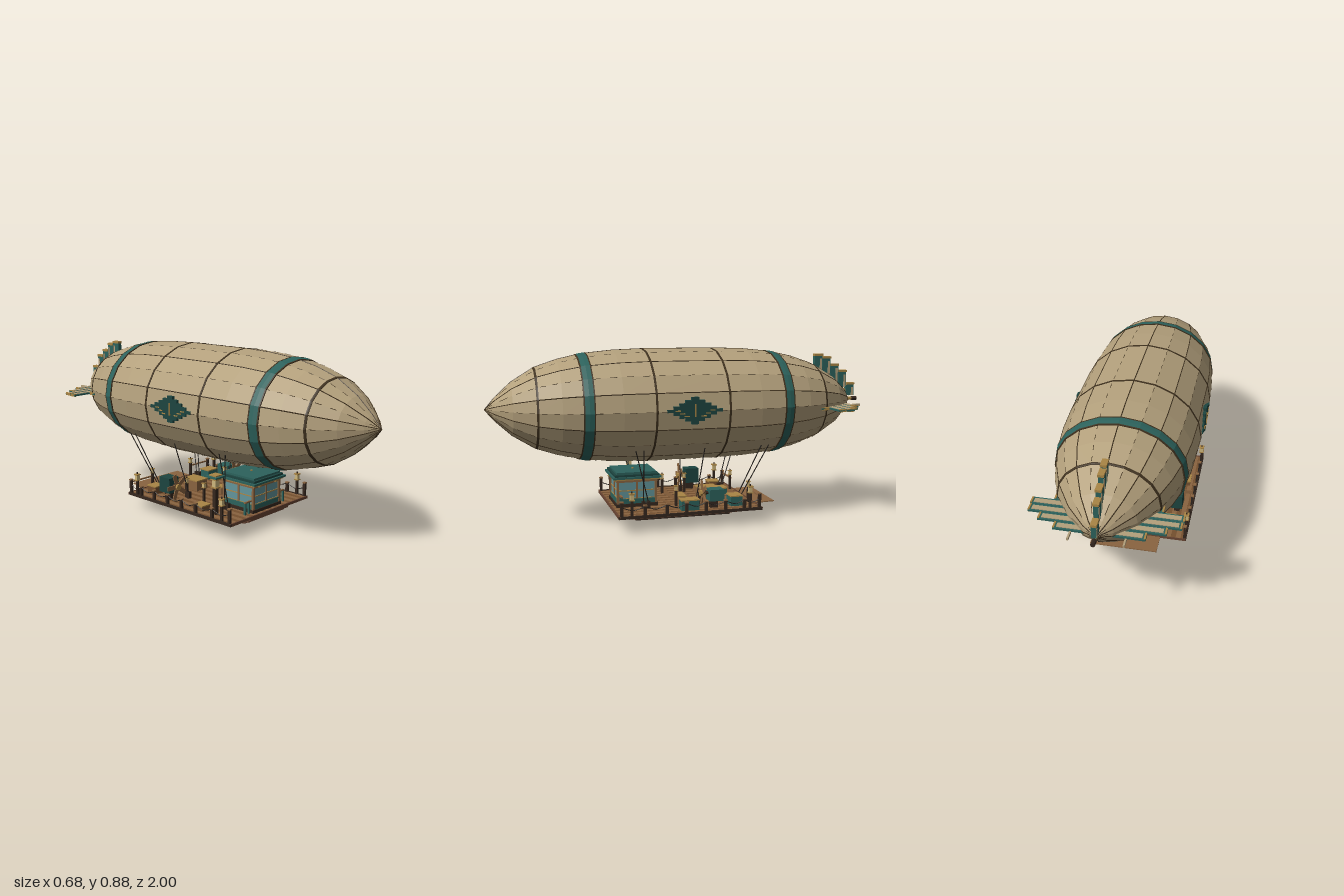
import * as THREE from 'three';

const C = {
  canvas: 0xb3a07c, seam: 0x40321f, teal: 0x2c625c, darkTeal: 0x1d4540, wood: 0x8a6440, plank: 0x75502f,
  hull: 0x6a4532, dark: 0x35271e, under: 0x2a2c2c, gold: 0xa98545, glass: 0x62949a, lamp: 0xcdb67c, rope: 0x26221e,
};
const mats = {};
const mat = (c) => (mats[c] ??= new THREE.MeshStandardMaterial({ color: C[c], flatShading: true, side: THREE.DoubleSide }));

function add(parent, name, geo, color, x = 0, y = 0, z = 0) {
  const m = new THREE.Mesh(geo, mat(color));
  m.name = name;
  m.position.set(x, y, z);
  parent.add(m);
  return m;
}
// box given by its extents
const box = (p, name, color, x0, x1, y0, y1, z0, z1) =>
  add(p, name, new THREE.BoxGeometry(Math.abs(x1 - x0), y1 - y0, Math.abs(z1 - z0)), color, (x0 + x1) / 2, (y0 + y1) / 2, (z0 + z1) / 2);
// thin round bar between two points
function bar(p, name, color, a, b, r, sides = 5) {
  const va = new THREE.Vector3(...a), d = new THREE.Vector3(...b).sub(va);
  const m = add(p, name, new THREE.CylinderGeometry(r, r, d.length(), sides), color);
  m.position.copy(va).addScaledVector(d, 0.5);
  m.quaternion.setFromUnitVectors(new THREE.Vector3(0, 1, 0), d.normalize());
  return m;
}
function group(parent, name) {
  const g = new THREE.Group();
  g.name = name;
  parent.add(g);
  return g;
}

// envelope: elliptical cross-section, radius factor along z
const CY = 0.587, RX = 0.332, RY = 0.286;
const profile = [[-0.95, 0], [-0.91, 0.2], [-0.83, 0.46], [-0.71, 0.7], [-0.6, 0.83], [-0.475, 0.925], [-0.32, 0.98], [-0.15, 1],
  [0.215, 1], [0.37, 0.98], [0.53, 0.925], [0.65, 0.83], [0.76, 0.7], [0.87, 0.46], [0.95, 0.2], [0.998, 0]];
function radiusAt(z) {
  const i = Math.max(1, profile.findIndex((q) => q[0] >= z));
  const [z0, r0] = profile[i - 1], [z1, r1] = profile[i];
  return r0 + ((r1 - r0) * (z - z0)) / (z1 - z0);
}
const surf = (a, z, k = 1) => [Math.sin(a) * RX * radiusAt(z) * k, CY + Math.cos(a) * RY * radiusAt(z) * k, z];
function turned(parent, name, color, pts) {
  const g = new THREE.LatheGeometry(pts.map(([z, r]) => new THREE.Vector2(r, z)), 20);
  g.rotateX(Math.PI / 2).scale(RX, RY, 1);
  return add(parent, name, g, color, 0, CY, 0);
}
function hoop(parent, name, color, z, w, k) {
  const r0 = radiusAt(z - w), r1 = radiusAt(z + w);
  turned(parent, name, color, [[z - w, r0 * 0.98], [z - w, r0 + k], [z, radiusAt(z) + k], [z + w, r1 + k], [z + w, r1 * 0.98]]);
}

function buildEnvelope(root) {
  const g = group(root, 'envelope');
  turned(g, 'canvas', 'canvas', profile);
  for (const z of [0.76, 0.215, -0.15, -0.71]) hoop(g, 'ringSeam', 'seam', z, 0.005, 0.008);
  for (const z of [0.53, -0.475]) {
    hoop(g, 'tealBand', 'teal', z, 0.022, 0.014);
    for (const s of [-1, 1]) hoop(g, 'bandEdge', 'seam', z + s * 0.024, 0.003, 0.016);
  }
  // solid seams on every other edge, stitched ones between
  for (let i = 0; i < 20; i++) {
    const a = (i * Math.PI) / 10;
    for (let j = 1; j < profile.length; j++) {
      const z0 = profile[j - 1][0], z1 = profile[j][0];
      if (i % 2 === 0) bar(g, 'seam', 'seam', surf(a, z0), surf(a, z1), 0.0025, 4);
      else {
        const n = Math.max(1, Math.round((z1 - z0) / 0.07));
        for (let k = 0; k < n; k++) {
          const at = (t) => surf(a, z0 + ((z1 - z0) * (k + t)) / n);
          bar(g, 'stitch', 'seam', at(0.25), at(0.7), 0.0014, 4);
        }
      }
    }
  }
  // stern spike
  bar(g, 'sternSpike', 'gold', [0, CY, -0.92], [0, CY, -0.98], 0.009, 8);
  bar(g, 'sternTip', 'dark', [0, CY, -0.97], [0, CY, -1], 0.011, 8);
  // stepped diamond panel on each flank
  for (const s of [-1, 1]) {
    const d = group(g, 'flankPanel');
    for (let i = -4; i <= 4; i++) {
      const w = 0.138 - Math.abs(i) * 0.03, y = 0.59 + i * 0.0145;
      box(d, 'panelStep', 'darkTeal', s * 0.318, s * 0.337, y - 0.0073, y + 0.0073, 0.03 - w, 0.03 + w);
    }
    box(d, 'panelBar', 'gold', s * 0.336, s * 0.341, 0.56, 0.622, 0.026, 0.034);
    for (const e of [-1, 1]) for (let k = 0; k < 3; k++)
      box(d, 'panelTrim', 'gold', s * 0.336, s * 0.34, 0.562 + k * 0.013, 0.567 + k * 0.013, 0.03 + e * (0.03 + k * 0.022), 0.03 + e * (0.055 + k * 0.022));
  }
}

function buildTail(root) {
  const g = group(root, 'tail');
  // upright fin: slats stepping down toward the stern
  [0.835, 0.82, 0.78, 0.745, 0.675].forEach((top, i) => {
    const z = -0.74 - i * 0.048, low = top - 0.17 + i * 0.025;
    box(g, 'finSlat', 'teal', -0.011, 0.011, low, top - 0.012, z, z - 0.046);
    box(g, 'finSlatCap', 'gold', -0.014, 0.014, top - 0.012, top, z, z - 0.048);
    box(g, 'finSlatPanel', 'canvas', -0.013, 0.013, low, top - 0.025, z - 0.03, z - 0.042);
  });
  bar(g, 'finSpine', 'gold', [0, 0.75, -0.74], [0, 0.61, -0.96], 0.01);
  // side fins
  for (const s of [-1, 1]) {
    [0.245, 0.342, 0.338, 0.28, 0.2].forEach((x, i) => {
      const z = -0.675 - i * 0.047;
      const inner = Math.max(0.03, RX * radiusAt(z - 0.04) - 0.04);
      box(g, 'sideSlat', 'teal', s * inner, s * x, 0.56, 0.568, z, z - 0.045);
      box(g, 'sideSlatPanel', 'canvas', s * inner, s * (x - 0.015), 0.562, 0.571, z - 0.01, z - 0.036);
      box(g, 'sideSlatEnd', 'gold', s * (x - 0.008), s * x, 0.557, 0.572, z - 0.003, z - 0.042);
    });
    box(g, 'sideFinTip', 'canvas', s * 0.115, s * 0.123, 0.558, 0.57, -0.915, -0.96);
  }
}

function lantern(parent, x, y, z, k = 1) {
  const g = group(parent, 'lantern');
  g.position.set(x, y, z);
  g.scale.setScalar(k);
  box(g, 'lanternBase', 'gold', -0.012, 0.012, 0, 0.005, -0.012, 0.012);
  box(g, 'lanternGlass', 'lamp', -0.009, 0.009, 0.005, 0.03, -0.009, 0.009);
  box(g, 'lanternCap', 'gold', -0.013, 0.013, 0.03, 0.036, -0.013, 0.013);
  box(g, 'lanternHook', 'dark', -0.003, 0.003, 0.036, 0.046, -0.003, 0.003);
}

function buildHull(root) {
  const g = group(root, 'hull');
  [[0.078, 0.24, 0.27], [0.105, 0.27, 0.31], [0.125, 0.29, 0.34], [0.14, 0.305, 0.37], [0.148, 0.32, 0.39]].forEach(([x, b, f], i) =>
    box(g, 'hullStep', i === 0 ? 'dark' : 'hull', -x, x, i * 0.0145, (i + 1) * 0.0145, -b, f));
  for (const s of [-1, 1]) box(g, 'wingUnderside', 'under', s * 0.148, s * 0.298, 0.07, 0.074, -0.33, 0.395);
  box(g, 'hullTop', 'hull', -0.15, 0.15, 0.0725, 0.076, -0.33, 0.395);
  // deck boards
  for (let i = 0; i < 24; i++) {
    const x = -0.298 + i * 0.0248;
    box(g, 'deckBoard', i % 2 ? 'wood' : 'plank', x, x + 0.0248, 0.074, 0.0815 + (i % 2) * 0.0008, -0.33, 0.395);
  }
  for (const s of [-1, 1]) {
    box(g, 'sideBeam', 'dark', s * 0.293, s * 0.302, 0.071, 0.085, -0.335, 0.4);
    box(g, 'endBeam', 'hull', -0.302, 0.302, 0.071, 0.085, s * 0.3625 + 0.03, s * 0.3675 + 0.0325);
  }
  const ramp = box(g, 'rearRamp', 'wood', -0.17, 0.17, 0.074, 0.079, -0.32, -0.45);
  ramp.rotation.x = 0.03;
}

function buildRailings(root) {
  const g = group(root, 'railings');
  const posts = [0.385, 0.27, 0.16, 0.06, -0.04, -0.14, -0.24, -0.32];
  for (const s of [-1, 1]) {
    posts.forEach((z, i) => {
      const tall = i === 0 || i === 7 ? 0.152 : 0.13;
      box(g, 'railPost', 'dark', s * 0.287, s * 0.3, 0.08, tall, z - 0.007, z + 0.007);
      box(g, 'postCap', 'wood', s * 0.285, s * 0.302, tall, tall + 0.006, z - 0.009, z + 0.009);
      if (i === 0) return;
      // sagging rope
      const zp = posts[i - 1], pts = [0, 0.5, 1].map((t) => new THREE.Vector3(s * 0.293, 0.128 - (t === 0.5 ? 0.017 : 0), zp + (z - zp) * t));
      add(g, 'railRope', new THREE.TubeGeometry(new THREE.CatmullRomCurve3(pts), 8, 0.0022, 4), 'rope');
    });
    for (const z of [0.335, -0.27]) {
      box(g, 'lanternPost', 'dark', s * 0.288, s * 0.3, 0.08, 0.16, z - 0.006, z + 0.006);
      lantern(g, s * 0.294, 0.16, z);
    }
    // inner posts, lanterns and end rails
    for (const z of [0.075, -0.05, -0.315]) {
      box(g, 'innerPost', 'dark', s * 0.14, s * 0.152, 0.08, 0.16, z - 0.006, z + 0.006);
      lantern(g, s * 0.146, 0.16, z, 0.75);
    }
    box(g, 'frontRail', 'wood', s * 0.105, s * 0.152, 0.14, 0.147, 0.35, 0.36);
    for (const x of [0.12, 0.148]) box(g, 'frontRailPost', 'teal', s * (x - 0.004), s * (x + 0.004), 0.08, 0.14, 0.35, 0.36);
    box(g, 'rearRail', 'wood', s * 0.15, s * 0.3, 0.138, 0.145, -0.327, -0.319);
  }
}

function buildCabin(root) {
  const g = group(root, 'cabin');
  const z0 = 0.165, z1 = 0.37;
  box(g, 'cabinFoot', 'dark', -0.11, 0.11, 0.08, 0.098, z0 - 0.005, z1 + 0.005);
  box(g, 'cabinSkirt', 'teal', -0.104, 0.104, 0.098, 0.122, z0, z1);
  box(g, 'cabinGlass', 'glass', -0.094, 0.094, 0.122, 0.21, z0 + 0.007, z1 - 0.007);
  box(g, 'headBeam', 'wood', -0.105, 0.105, 0.208, 0.222, z0 - 0.003, z1 + 0.003);
  for (const y of [0.12, 0.161]) box(g, 'windowBar', 'gold', -0.097, 0.097, y, y + 0.005, z0 + 0.003, z1 - 0.003);
  for (const s of [-1, 1]) {
    for (const z of [z0, z1 - 0.01]) box(g, 'cornerPost', 'wood', s * 0.092, s * 0.105, 0.085, 0.215, z, z + 0.011);
    box(g, 'sideMullion', 'wood', s * 0.09, s * 0.099, 0.1, 0.21, 0.263, 0.272);
    box(g, 'eaveBracket', 'gold', s * 0.055, s * 0.07, 0.21, 0.22, z0 - 0.01, z1 + 0.01);
  }
  box(g, 'endMullion', 'wood', -0.004, 0.004, 0.1, 0.21, z0 + 0.002, z1 - 0.002);
  // stepped roof
  [[0.114, 0.22, 0.227, 'gold'], [0.122, 0.227, 0.237, 'teal'], [0.112, 0.237, 0.248, 'darkTeal'], [0.1, 0.248, 0.258, 'teal']].forEach(([x, a, b, c]) =>
    box(g, 'roofStep', c, -x, x, a, b, 0.268 - x - 0.002, 0.268 + x + 0.002));
  bar(g, 'roofFinial', 'gold', [0, 0.258, 0.268], [0, 0.264, 0.268], 0.006);
}

function engine(root, s, z) {
  const g = group(root, 'engine');
  g.position.set(s * 0.222, 0, z);
  box(g, 'engineStand', 'dark', -0.014, 0.014, 0.08, 0.13, -0.06, -0.02);
  box(g, 'engineBody', s < 0 ? 'darkTeal' : 'teal', -0.03, 0.036, 0.12, s < 0 ? 0.2 : 0.178, -0.085, -0.01);
  bar(g, 'propellerShaft', 'dark', [0, 0.158, -0.02], [0, 0.158, 0.02], 0.008, 8);
  bar(g, 'propellerHub', 'gold', [0, 0.158, 0.008], [0, 0.158, 0.032], 0.016, 8);
  for (let i = 0; i < 5; i++) {
    const b = group(g, 'propellerBlade');
    b.position.set(0, 0.158, 0.018);
    b.rotation.z = 0.3 + (i * Math.PI * 2) / 5;
    box(b, 'blade', 'wood', -0.011, 0.011, 0.01, 0.068, -0.003, 0.003);
  }
}

function buildFittings(root) {
  const g = group(root, 'deckFittings');
  engine(g, -1, -0.06);
  engine(g, 1, -0.06);
  // tall signal lamp
  box(g, 'lampColumn', 'dark', -0.245, -0.225, 0.08, 0.22, 0.23, 0.25);
  lantern(g, -0.235, 0.215, 0.24, 1.4);
  box(g, 'lampRoof', 'teal', -0.27, -0.2, 0.27, 0.278, 0.205, 0.275);
  box(g, 'lampRoofTop', 'gold', -0.258, -0.212, 0.278, 0.284, 0.217, 0.263);
  // crates, chests and benches
  for (const [x, z, w, h, d, c] of [[-0.23, 0.14, 0.03, 0.025, 0.03, 'plank'], [0.23, 0.03, 0.028, 0.05, 0.045, 'teal'], [0, -0.13, 0.04, 0.055, 0.05, 'wood'],
    [0.2, -0.22, 0.035, 0.05, 0.03, 'teal'], [-0.2, -0.23, 0.03, 0.04, 0.03, 'plank'], [0.06, 0.03, 0.045, 0.035, 0.02, 'wood'], [-0.07, -0.24, 0.035, 0.03, 0.02, 'teal']]) {
    box(g, 'chest', c, x - w, x + w, 0.08, 0.08 + h, z - d, z + d);
    box(g, 'chestLid', 'gold', x - w - 0.003, x + w + 0.003, 0.08 + h, 0.086 + h, z - d - 0.003, z + d + 0.003);
  }
}

function buildRigging(root) {
  const g = group(root, 'rigging');
  // [z at envelope, z at deck]
  for (const s of [-1, 1]) for (const [zt, zb] of [[0.3, 0.22], [0.26, 0.245], [-0.05, -0.03], [-0.39, -0.27], [-0.35, -0.25]]) {
    bar(g, 'stay', 'rope', [s * 0.232, 0.39, zt], [s * 0.15, 0.11, zb], 0.0028, 5);
    box(g, 'stayBlock', 'dark', s * 0.141, s * 0.159, 0.08, 0.118, zb - 0.008, zb + 0.008);
  }
}

export function createModel() {
  const root = new THREE.Group();
  root.name = 'airship';
  for (const build of [buildEnvelope, buildTail, buildHull, buildRailings, buildCabin, buildFittings, buildRigging]) build(root);
  return root;
}
